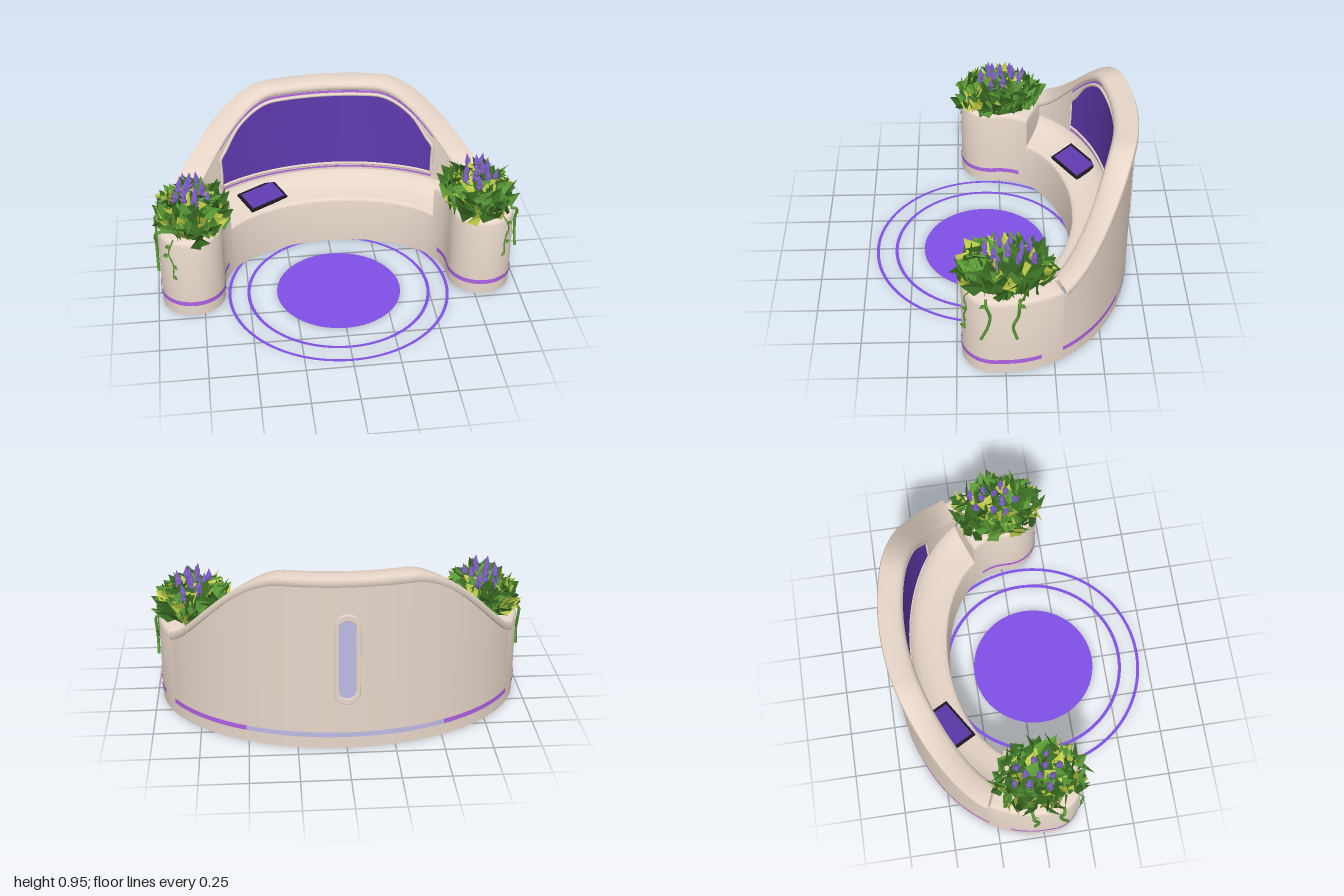
import * as THREE from 'three';
import { mergeGeometries, toCreasedNormals } from 'three/addons/utils/BufferGeometryUtils.js';

const V = (x, y, z) => new THREE.Vector3(x, y, z);
const END = 1.143; // angle where the bench meets the planters

function material(name, color) {
  const m = new THREE.MeshStandardMaterial({ color, side: THREE.DoubleSide });
  m.name = name;
  return m;
}

// Point on the bench plan: s = 0 is the outer ellipse, s = 1 the inner one
const plan = (s, t, y) => V((0.975 - 0.345 * s) * Math.sin(t), y, -(0.7 - 0.31 * s) * Math.cos(t));

// Height of the backrest along the curve
const crest = t => 0.475 + 0.473 * THREE.MathUtils.smoothstep(1.235 - Math.abs(t), 0, 0.9);

// Position of the leaning inner face of the backrest
const wallS = (t, y) => THREE.MathUtils.mapLinear(y, 0.37, crest(t) - 0.05, 0.335, 0.315);

// Skin a list of equal-length rows of points
function skin(rows, crease = 0.7) {
  const n = rows[0].length, pos = [], index = [];
  rows.forEach(r => r.forEach(p => pos.push(p.x, p.y, p.z)));
  for (let i = 0; i < rows.length - 1; i++) {
    for (let j = 0; j < n - 1; j++) {
      const a = i * n + j, b = a + n;
      index.push(a, a + 1, b, b, a + 1, b + 1);
    }
  }
  const g = new THREE.BufferGeometry();
  g.setAttribute('position', new THREE.Float32BufferAttribute(pos, 3));
  g.setIndex(index);
  g.computeVertexNormals();
  return toCreasedNormals(g, crease);
}

// Sweep a section of [s, y] pairs along the bench
function sweep(t0, t1, n, section) {
  const rows = [];
  for (let i = 0; i <= n; i++) {
    const t = t0 + (t1 - t0) * i / n;
    rows.push(section(t).map(([s, y]) => plan(s, t, y)));
  }
  return skin(rows);
}

// Planter plan from outer side, round the front, to inner side
function planterOutline(tOuter, tInner, off, y) {
  const pts = [], H = Math.PI / 2;
  for (let i = 0; i <= 10; i++) {
    const t = tOuter + (H - tOuter) * i / 10;
    pts.push(V((0.975 + off) * Math.sin(t), y, -(0.7 + off) * Math.cos(t)));
  }
  for (let i = 0; i <= 24; i++) {
    const a = Math.PI * i / 24, r = 0.1725 + off;
    pts.push(V(0.8025 + r * Math.cos(a), y, 0.05 + r * Math.sin(a)));
  }
  for (let i = 0; i <= 10; i++) {
    const t = H + (tInner - H) * i / 10;
    pts.push(V((0.63 - off) * Math.sin(t), y, -(0.39 - off) * Math.cos(t)));
  }
  return pts;
}

function stadium(w, h, Type = THREE.Shape) {
  const s = new Type(), r = w / 2, k = h / 2 - r;
  s.absarc(0, k, r, 0, Math.PI);
  s.absarc(0, -k, r, Math.PI, Math.PI * 2);
  s.closePath();
  return s;
}

export function createModel() {
  const stone = material('warm stone', 0xe8d7c9), glow = material('violet strip', 0xb062e6);
  const panelMat = material('deep violet', 0x5f3aae), floorMat = material('floor violet', 0x7f50e6);
  const glass = material('lavender glass', 0xbebae6), black = material('black casing', 0x1b1922);
  const dark = material('dark leaf', 0x386a22), mid = material('green leaf', 0x5a9a36);
  const lime = material('lime leaf', 0xbccb44), petal = material('purple petal', 0x805fcc);
  const root = new THREE.Group();
  const add = (name, geo, mat, parent = root) => {
    const m = new THREE.Mesh(geo, mat);
    m.name = name;
    parent.add(m);
    return m;
  };

  // Bench: back wall, rounded top rail, leaning backrest and seat
  add('backWall', sweep(-END, END, 72, t => [[0, 0], [0, crest(t) - 0.04]]), stone);
  add('topRail', sweep(-END, END, 72, t => [[0, -0.045], [-0.035, -0.045], [-0.05, -0.035], [-0.052, -0.015],
    [-0.035, -0.003], [0, 0], [0.15, 0.002], [0.29, -0.002], [0.34, -0.01], [0.372, -0.024], [0.372, -0.04],
    [0.35, -0.05], [0.315, -0.05]].map(([s, d]) => [s, crest(t) + d])), stone);
  add('backrest', sweep(-END, END, 72, t => [[0.315, crest(t) - 0.05], [0.335, 0.37]]), stone);
  add('seat', sweep(-END, END, 72, () => [[0.335, 0.37], [0.37, 0.352], [0.42, 0.335], [0.5, 0.318], [0.7, 0.299],
    [0.9, 0.291], [0.97, 0.288], [0.99, 0.283], [1, 0.272], [1, 0]]), stone);

  // Backrest panel with its frame and glowing trim
  const W = 0.785;
  const panelTop = t => crest(t) - 0.088 - 0.045 * THREE.MathUtils.smoothstep(Math.abs(t), 0.6, W);
  const onWall = (t, y, lift) => [wallS(t, y) + lift, y];
  add('backPanel', sweep(-W, W, 48, t => [onWall(t, 0.42, 0.015), onWall(t, panelTop(t), 0.015)]), panelMat);
  const border = [];
  const borderPoint = (t, y) => border.push(plan(wallS(t, y) + 0.016, t, y));
  for (let i = 0; i <= 30; i++) borderPoint(-W + 2 * W * i / 30, 0.413);
  for (let i = 1; i < 4; i++) borderPoint(W, 0.413 + (panelTop(W) - 0.413) * i / 4);
  for (let i = 0; i <= 30; i++) borderPoint(W - 2 * W * i / 30, panelTop(W - 2 * W * i / 30) + 0.006);
  for (let i = 3; i > 0; i--) borderPoint(-W, 0.413 + (panelTop(W) - 0.413) * i / 4);
  add('panelFrame', new THREE.TubeGeometry(new THREE.CatmullRomCurve3(border, true), 180, 0.009, 8, true), stone);
  add('lowerTrim', sweep(-W, W, 48, t => [onWall(t, 0.385, 0.012), onWall(t, 0.396, 0.012)]), glow);
  add('upperTrim', sweep(-W, W, 48, t => [onWall(t, crest(t) - 0.069, 0.014), onWall(t, crest(t) - 0.056, 0.014)]), glow);

  // Light strip round the back
  const band = () => [[-0.012, 0.065], [-0.012, 0.092]];
  add('backStrip', sweep(-0.55, 0.55, 32, band), glass);
  add('sideStripLeft', sweep(0.55, END, 20, band), glow);
  add('sideStripRight', sweep(-END, -0.55, 20, band), glow);

  // Upright window on the back
  const ring = stadium(0.125, 0.49);
  ring.holes.push(stadium(0.095, 0.44, THREE.Path));
  const frame = add('rearWindowFrame', new THREE.ExtrudeGeometry(ring,
    { depth: 0.014, bevelSize: 0.005, bevelThickness: 0.005, bevelSegments: 2, curveSegments: 16 }), stone);
  frame.position.set(0, 0.506, -0.707);
  const pane = add('rearWindowPane', new THREE.ShapeGeometry(stadium(0.096, 0.441), 16), glass);
  pane.rotation.y = Math.PI;
  pane.position.set(0, 0.506, -0.707);

  // Tablet lying on the seat
  const tablet = new THREE.Group();
  tablet.name = 'tablet';
  add('tabletCase', new THREE.BoxGeometry(0.25, 0.014, 0.15), black, tablet);
  add('tabletScreen', new THREE.BoxGeometry(0.22, 0.004, 0.122), panelMat, tablet).position.y = 0.007;
  tablet.rotation.set(0.27, 0.56, 0, 'YXZ');
  tablet.position.set(-0.378, 0.32, -0.43);
  root.add(tablet);

  // Floor disc and rings
  [['floorDisc', new THREE.CircleGeometry(0.345, 64)], ['innerFloorRing', new THREE.RingGeometry(0.493, 0.511, 96)],
    ['outerFloorRing', new THREE.RingGeometry(0.6, 0.617, 96)]].forEach(([name, geo]) => {
    geo.rotateX(-Math.PI / 2).translate(0, 0.003, 0.092);
    add(name, geo, floorMat);
  });

  // Planters with foliage, flowers and hanging vines
  for (const side of [1, -1]) {
    const planter = new THREE.Group();
    planter.name = side > 0 ? 'leftPlanter' : 'rightPlanter';
    planter.scale.x = side;
    root.add(planter);
    let seed = side > 0 ? 11 : 47;
    const rnd = () => (seed = (seed * 16807) % 2147483647) / 2147483647;
    for (let i = 0; i < 5; i++) rnd();
    const jitter = k => V(rnd() - 0.5, rnd() - 0.5, rnd() - 0.5).multiplyScalar(k);

    const rows = [[0, 0], [0, 0.45], [-0.004, 0.463], [-0.011, 0.471], [-0.022, 0.475]].map(([off, y]) => {
      const o = planterOutline(END - off * 1.3, END - off * 1.3, off, y);
      return [...o, o[0].clone()];
    });
    rows.push(rows[0].map(() => V(0.78, 0.475, 0)));
    add('planterBody', skin(rows, 0.6), stone, planter);
    add('planterStrip', skin([0.065, 0.092].map(y => planterOutline(1.31, 1.26, 0.004, y))), glow, planter);

    // Leafy mound
    const core = new THREE.IcosahedronGeometry(1, 1).scale(0.14, 0.12, 0.19).translate(0.78, 0.48, 0);
    core.computeVertexNormals();
    add('foliageCore', core, dark, planter);
    const tris = new Map([[dark, []], [mid, []], [lime, []]]);
    const leaf = (mat, base, dir, wide, len, width) => {
      const up = V().crossVectors(wide, dir).normalize();
      const at = (l, w, h) => base.clone().addScaledVector(dir, l * len)
        .addScaledVector(wide, w * width).addScaledVector(up, h * len);
      const a = at(0, 0, 0), b = at(0.4, 0.5, 0.12), c = at(0.4, -0.5, 0.12), tip = at(1, 0, 0);
      for (const p of [a, tip, b, a, c, tip]) tris.get(mat).push(p.x, p.y, p.z);
    };
    const N = 150;
    for (let i = 0; i < N; i++) {
      const h = -0.05 + 1.03 * (i + 0.5) / N, az = i * 2.39996 + rnd() * 0.5, c = Math.sqrt(1 - h * h);
      const out = V(c * Math.cos(az), h, c * Math.sin(az));
      const base = V(0.778 + out.x * 0.13, 0.485 + out.y * 0.11, out.z * 0.19);
      // Blades mostly lie along the mound with their broad side outward
      const tangent = V().crossVectors(out, jitter(1)).normalize();
      if (tangent.y < 0) tangent.y *= -0.6;
      const dir = out.clone().multiplyScalar(0.55).add(tangent.multiplyScalar(0.75)).normalize();
      const wide = V().crossVectors(dir, out.clone().add(jitter(0.5))).normalize();
      const k = rnd();
      leaf(k < 0.4 ? dark : k < 0.77 ? mid : lime, base, dir, wide, 0.085 + rnd() * 0.05, 0.065 + rnd() * 0.035);
    }

    // Hanging vines
    const vines = [[[0.95, 0.48, 0.1], [0.983, 0.47, 0.1], [0.983, 0.4, 0.08], [0.983, 0.33, 0.09], [0.982, 0.245, 0.125]],
      [[0.95, 0.48, -0.07], [0.984, 0.47, -0.065], [0.984, 0.4, -0.06], [0.984, 0.33, -0.035], [0.983, 0.245, -0.055]],
      [[0.89, 0.48, 0.18], [0.905, 0.46, 0.206], [0.92, 0.4, 0.195], [0.9, 0.34, 0.208], [0.905, 0.25, 0.204]]];
    const tubes = vines.map((pts, v) => {
      const curve = new THREE.CatmullRomCurve3(pts.map(p => V(...p)));
      const outward = v < 2 ? V(1, 0, 0) : V(0.55, 0, 0.83);
      for (const u of v < 2 ? [0.2] : [0.25, 0.5, 0.75, 0.95]) {
        const wide = V(-outward.z, 0, outward.x), sgn = rnd() < 0.5 ? -1 : 1;
        const dir = wide.clone().multiplyScalar(sgn).add(V(0, -0.6, 0)).addScaledVector(outward, 0.2).normalize();
        leaf(mid, curve.getPoint(u), dir, V().crossVectors(dir, outward).normalize(), 0.04, 0.03);
      }
      return new THREE.TubeGeometry(curve, 24, v < 2 ? 0.008 : 0.004, 6);
    });
    add('vines', mergeGeometries(tubes), mid, planter);
    for (const [mat, pos] of tris) {
      const g = new THREE.BufferGeometry();
      g.setAttribute('position', new THREE.Float32BufferAttribute(pos, 3));
      g.computeVertexNormals();
      add(mat.name.replace(' l', 'L') + 'Cluster', g, mat, planter);
    }

    // Flower spikes: a whorl of small buds below a pointed tip
    const cones = [];
    for (let i = 0; i < 11; i++) {
      const r = Math.sqrt((i + 0.5) / 11), az = i * 2.39996;
      const x = 0.785 + r * 0.1 * Math.cos(az), z = -0.01 + r * 0.15 * Math.sin(az);
      const y = 0.655 - r * r * 0.035 + rnd() * 0.02, lean = (rnd() - 0.5) * 0.4;
      const bud = (radius, height, tilt, turn, rise) => cones.push(new THREE.ConeGeometry(radius, height, 5)
        .toNonIndexed().translate(0, height / 2, 0).rotateZ(tilt).rotateY(turn)
        .translate(0, rise, 0).rotateZ(lean).translate(x, y, z));
      bud(0.017, 0.05, 0, 0, 0.015);
      for (let k = 0; k < 6; k++) bud(0.013, 0.036, k < 3 ? 0.8 : 0.5, k * 2.1 + i, k < 3 ? -0.03 : -0.005);
    }
    const flowers = mergeGeometries(cones);
    flowers.computeVertexNormals();
    add('flowerSpikes', flowers, petal, planter);
  }
  return root;
}
